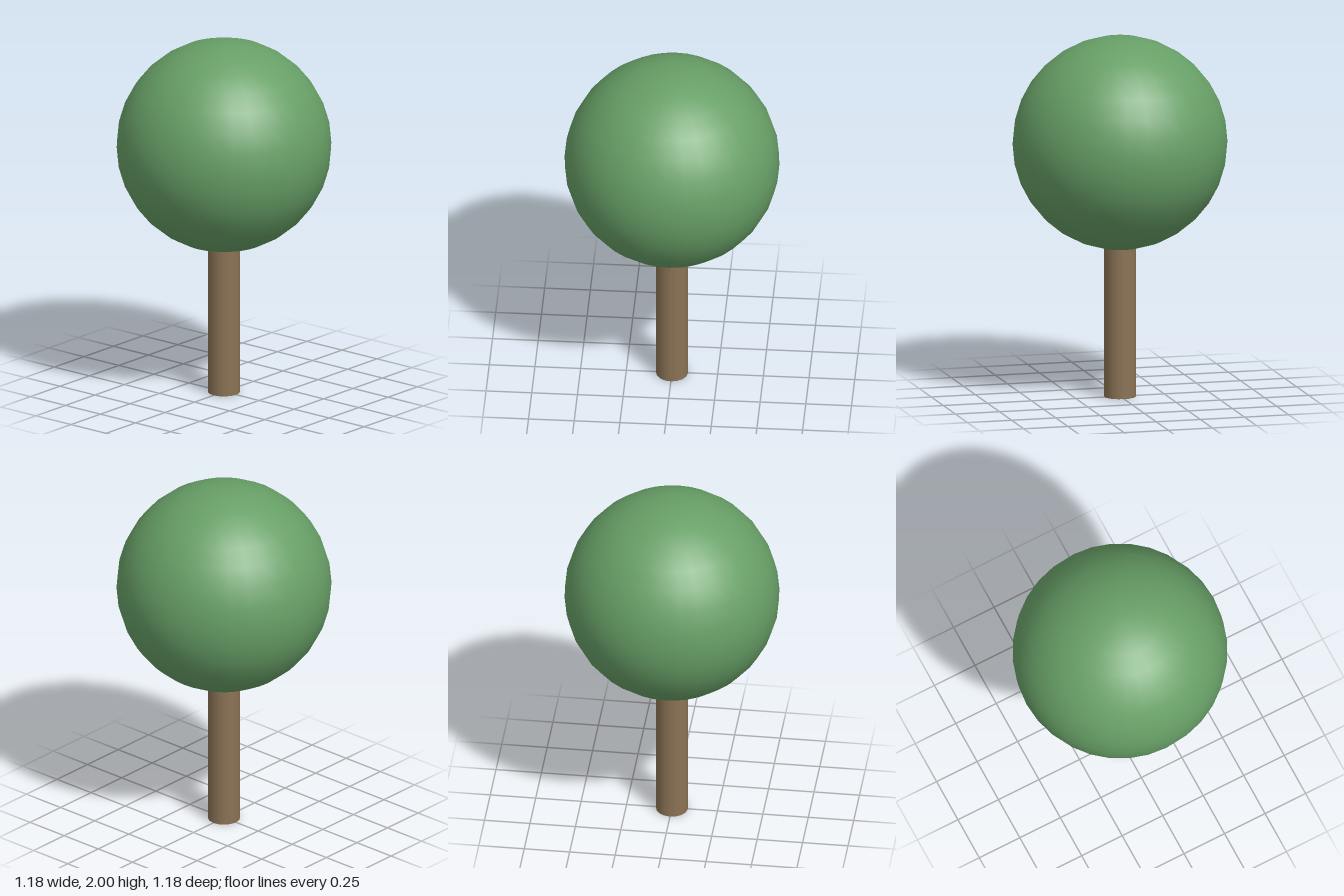
import * as THREE from 'three';

export function createModel() {
  const tree = new THREE.Group();
  tree.name = 'tree';

  const bark = new THREE.MeshStandardMaterial({ color: 0x8b7355 });
  bark.name = 'bark brown';
  const leaf = new THREE.MeshStandardMaterial({ color: 0x679f66 });
  leaf.name = 'leaf green';

  const trunkHeight = 0.88;
  const crownRadius = 0.588;

  // Straight round trunk, its top buried in the crown
  const trunk = new THREE.Mesh(new THREE.CylinderGeometry(0.088, 0.088, trunkHeight, 16), bark);
  trunk.name = 'trunk';
  trunk.position.y = trunkHeight / 2;

  // Round leafy crown
  const crown = new THREE.Mesh(new THREE.SphereGeometry(crownRadius, 32, 16), leaf);
  crown.name = 'crown';
  crown.position.y = 2 - crownRadius;

  tree.add(trunk, crown);
  return tree;
}
